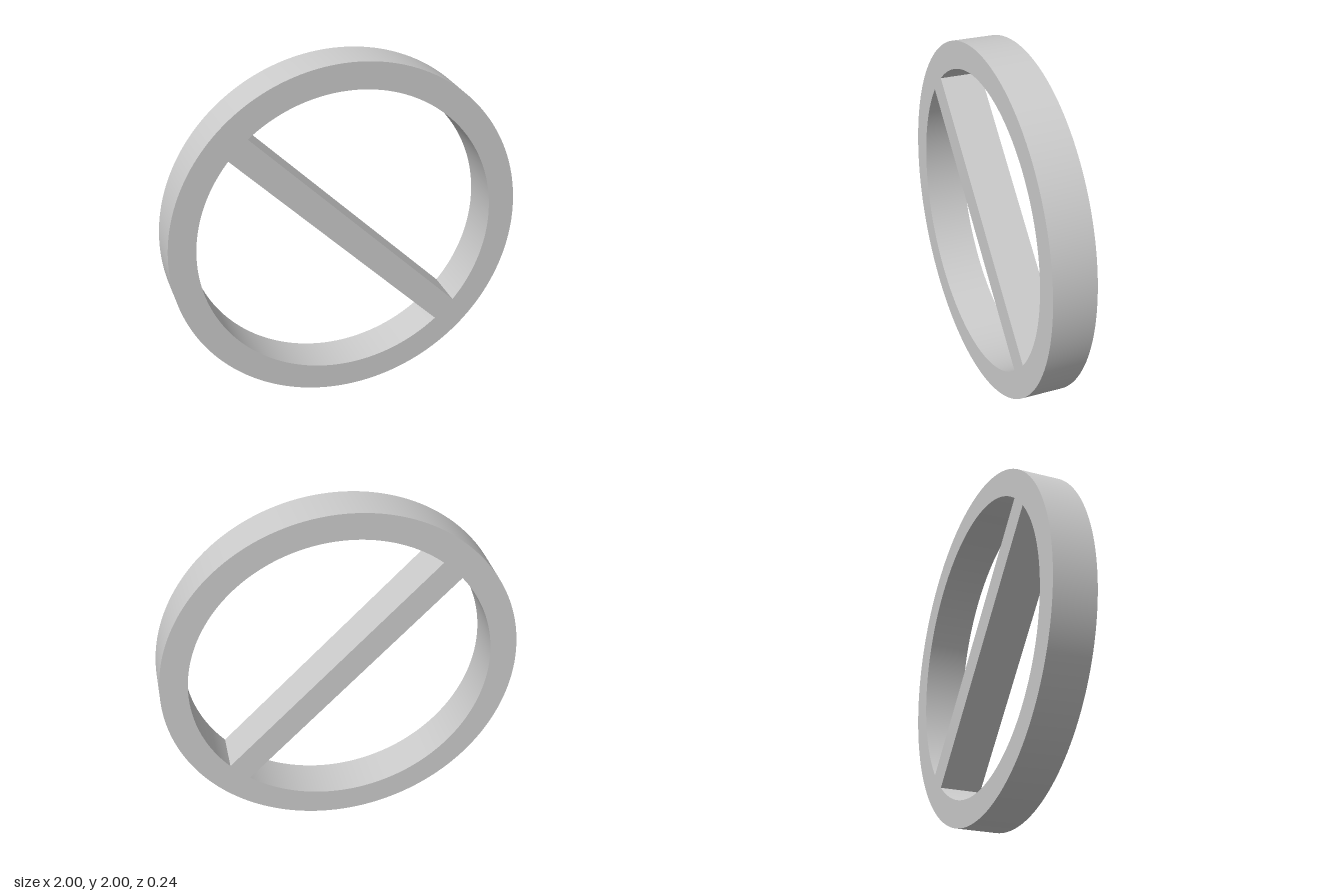
import * as THREE from 'three';
import { toCreasedNormals } from 'three/addons/utils/BufferGeometryUtils.js';

const OUTER = 1, INNER = 0.848, BAR_HALF = 0.076, DEPTH = 0.24;

// D-shaped opening on one side of the bar; start turns it to either side
function opening(start) {
  const a = Math.asin(BAR_HALF / INNER);
  const path = new THREE.Path();
  path.absarc(0, 0, INNER, start + a, start + Math.PI - a, false);
  path.closePath();
  return path;
}

export function createModel() {
  const group = new THREE.Group();
  group.name = 'barredRing';

  // Round plate with two openings, leaving a rim and a flush crossbar
  const plate = new THREE.Shape();
  plate.absarc(0, 0, OUTER, 0, Math.PI * 2, false);
  plate.holes.push(opening(0), opening(Math.PI));

  const solid = new THREE.ExtrudeGeometry(plate, { depth: DEPTH, bevelEnabled: false, curveSegments: 96 });
  solid.translate(0, 0, -DEPTH / 2);

  const ring = new THREE.Mesh(
    toCreasedNormals(solid, Math.PI / 6),
    new THREE.MeshStandardMaterial({ color: 0xcccccc })
  );
  ring.name = 'ringWithCrossbar';
  // Bar runs from upper right-hand side (-x) down to the left-hand side (+x)
  ring.rotation.z = -Math.PI / 4;
  ring.position.y = OUTER;
  group.add(ring);
  return group;
}
